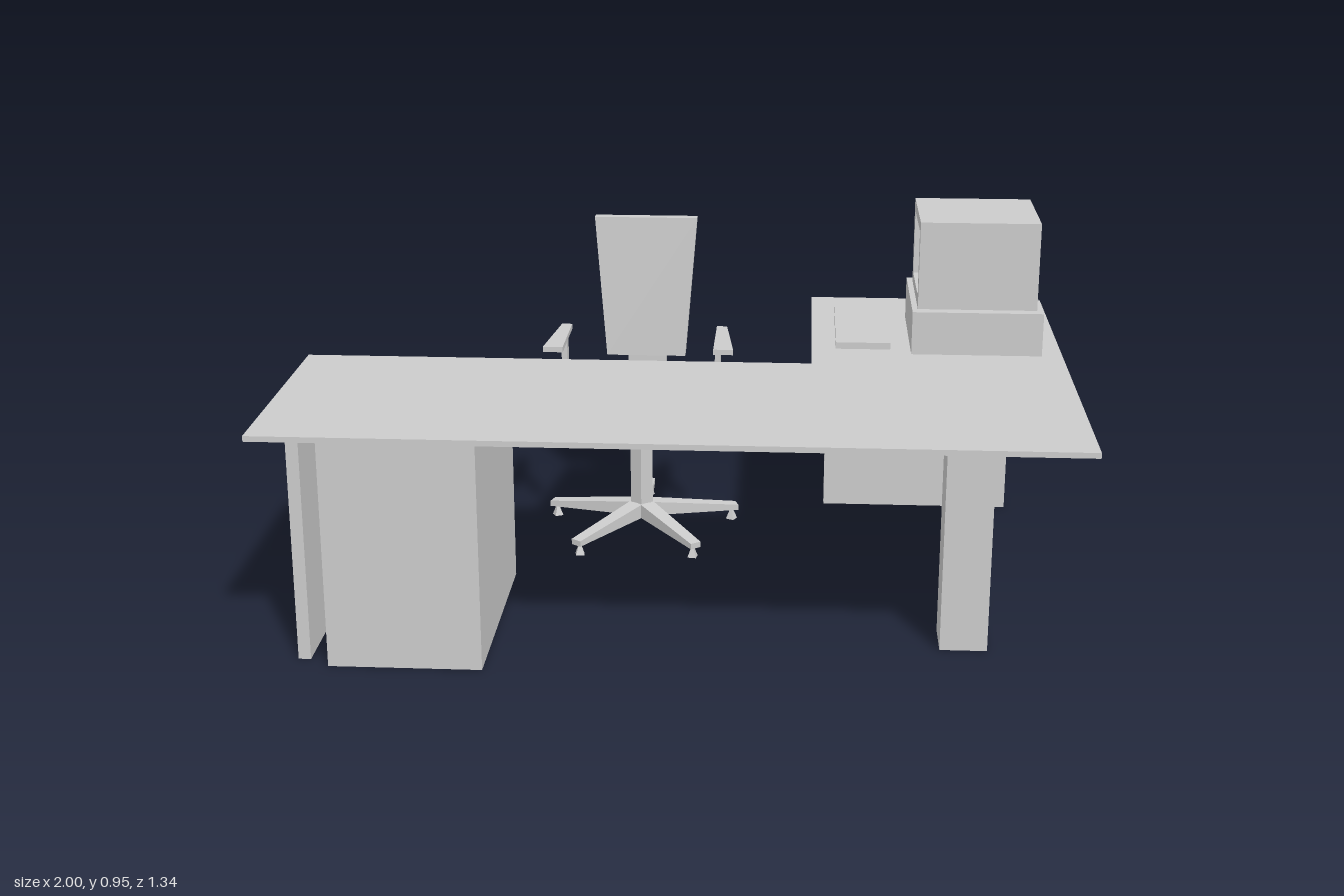
import * as THREE from 'three';

const material = new THREE.MeshStandardMaterial({ color: 0xcccccc, flatShading: true });

function add(parent, name, geometry) {
  const mesh = new THREE.Mesh(geometry, material);
  mesh.name = name;
  parent.add(mesh);
  return mesh;
}

// Box given by its extents on each axis
function block(parent, name, [x0, x1], [y0, y1], [z0, z1]) {
  const g = new THREE.BoxGeometry(x1 - x0, y1 - y0, z1 - z0);
  g.translate((x0 + x1) / 2, (y0 + y1) / 2, (z0 + z1) / 2);
  return add(parent, name, g);
}

// Unit box whose corners are moved by a rule; each argument is false or true (low / high side)
function warped(parent, name, rule) {
  const g = new THREE.BoxGeometry(1, 1, 1);
  const p = g.attributes.position;
  for (let i = 0; i < p.count; i++) {
    p.setXYZ(i, ...rule(p.getX(i) > 0, p.getY(i) > 0, p.getZ(i) > 0));
  }
  g.computeVertexNormals();
  return add(parent, name, g);
}

function buildDesk() {
  const desk = new THREE.Group();
  desk.name = 'desk';

  // L-shaped top
  const outline = [[-1, 0.665], [1, 0.665], [1, -0.67], [0.335, -0.67], [0.335, 0], [-1, 0]];
  const shape = new THREE.Shape(outline.map(([x, z]) => new THREE.Vector2(x, -z)));
  const top = new THREE.ExtrudeGeometry(shape, { depth: 0.014, bevelEnabled: false });
  top.rotateX(-Math.PI / 2);
  top.translate(0, 0.588, 0);
  add(desk, 'desktop', top);

  // Supports
  const height = [0, 0.588];
  block(desk, 'drawerCabinet', [-0.835, -0.455], height, [0.035, 0.637]);
  block(desk, 'sidePanel', [-0.917, -0.886], height, [0.07, 0.6]);
  block(desk, 'cornerPost', [0.665, 0.783], height, [0.335, 0.455]);
  block(desk, 'endPanel', [0.382, 0.914], height, [-0.583, -0.552]);
  return desk;
}

function buildComputer() {
  const computer = new THREE.Group();
  computer.name = 'computer';
  block(computer, 'computerCase', [0.6, 0.945], [0.602, 0.718], [-0.467, -0.1]);
  block(computer, 'keyboard', [0.4, 0.546], [0.602, 0.62], [-0.52, -0.14]);
  block(computer, 'monitorBody', [0.635, 0.93], [0.718, 0.953], [-0.434, -0.132]);

  // Bezel around the recessed screen, which faces the keyboard
  const rect = (path, z0, z1, y0, y1) =>
    path.moveTo(z0, y0).lineTo(z1, y0).lineTo(z1, y1).lineTo(z0, y1).closePath();
  const bezel = rect(new THREE.Shape(), -0.434, -0.132, 0.718, 0.953);
  bezel.holes.push(rect(new THREE.Path(), -0.404, -0.162, 0.748, 0.923));
  const g = new THREE.ExtrudeGeometry(bezel, { depth: 0.02, bevelEnabled: false });
  g.rotateY(-Math.PI / 2);
  g.translate(0.635, 0, 0);
  add(computer, 'monitorBezel', g);
  return computer;
}

// Chair is built around its column axis
function buildChair() {
  const chair = new THREE.Group();
  chair.name = 'chair';
  chair.position.set(-0.14, 0, -0.333);

  const column = new THREE.CylinderGeometry(0.033, 0.033, 0.29, 5);
  column.translate(0, 0.21, 0);
  add(chair, 'column', column);

  // Five tapered legs, one pointing straight back, each on a small foot
  for (let i = 0; i < 5; i++) {
    const leg = new THREE.Group();
    leg.name = 'baseLeg';
    leg.rotation.y = Math.PI + (i * Math.PI * 2) / 5;
    warped(leg, 'legArm', (r, t, f) => [
      (r ? 1 : -1) * (f ? 0.016 : 0.023),
      f ? (t ? 0.046 : 0.03) : (t ? 0.085 : 0.042),
      f ? 0.283 : 0,
    ]);
    const foot = new THREE.CylinderGeometry(0.004, 0.017, 0.03, 4);
    foot.translate(0, 0.015, 0.267);
    add(leg, 'foot', foot);
    chair.add(leg);
  }

  // Seat: wider at the front, with a sloping front edge
  warped(chair, 'seat', (r, t, f) => [
    (r ? 1 : -1) * (f ? (t ? 0.178 : 0.193) : (t ? 0.13 : 0.14)),
    t ? 0.405 : 0.35,
    f ? (t ? 0.155 : 0.19) : -0.194,
  ]);

  // Backrest: wider and thinner toward the top
  warped(chair, 'backrest', (r, t, f) => [
    (r ? 1 : -1) * (t ? 0.146 : 0.113),
    t ? 0.865 : 0.463,
    f ? (t ? -0.2 : -0.176) : (t ? -0.229 : -0.22),
  ]);
  block(chair, 'backSupport', [-0.055, 0.055], [0.35, 0.7], [-0.25, -0.222]);

  // Mirrored armrests, pads widening outward toward the front
  for (const s of [-1, 1]) {
    const inner = 0.207;
    const side = s > 0 ? 'left' : 'right';
    block(chair, side + 'ArmPost', s > 0 ? [inner, 0.223] : [-0.223, -inner], [0.335, 0.556], [-0.026, 0.01]);
    warped(chair, side + 'ArmPad', (r, t, f) => [
      s * (r === s > 0 ? (f ? 0.262 : 0.236) : inner),
      t ? 0.57 : 0.555,
      f ? 0.115 : -0.12,
    ]);
  }
  return chair;
}

export function createModel() {
  const model = new THREE.Group();
  model.name = 'officeWorkstation';
  model.add(buildDesk(), buildComputer(), buildChair());
  return model;
}
